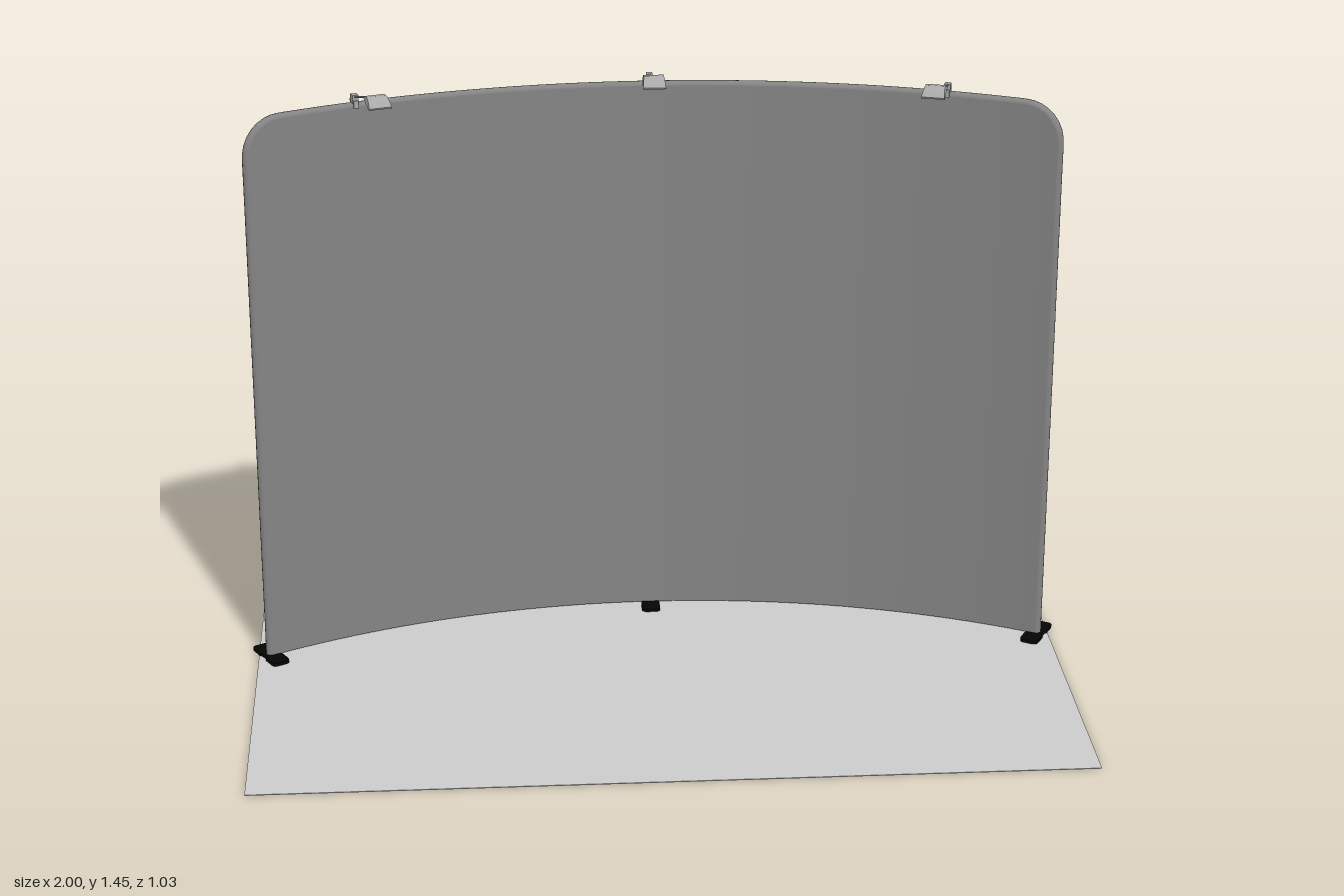
import * as THREE from 'three';

const R = 1.929, ARC_Z = 1.474;           // plan arc of the wall
const HALF = 0.999, TOP = 1.374, BOTTOM = 0.009, CORNER = 0.085, TUBE = 0.012;

const paint = (color, side = THREE.FrontSide) => new THREE.MeshStandardMaterial({ color, side });
const matGrey = paint(0xcccccc);
const fabric = paint(0x848484, THREE.DoubleSide);
const metal = paint(0xa8a8a8);
const armGrey = paint(0x777777);
const black = paint(0x050505);

// Point on the curved wall: s along the arc, y up, out = offset to the back
function onWall(s, y, out = 0) {
  const a = s / R, r = R + out;
  return new THREE.Vector3(r * Math.sin(a), y, ARC_Z - r * Math.cos(a));
}

function add(parent, name, geometry, material) {
  const mesh = new THREE.Mesh(geometry, material);
  mesh.name = name;
  parent.add(mesh);
  return mesh;
}

// Upper outline of the wall as [s, y], with rounded corners
function topOutline() {
  const left = [];
  for (let i = 0; i <= 10; i++) {
    const t = (i / 10) * Math.PI / 2;
    left.push([-HALF + CORNER * (1 - Math.cos(t)), TOP - CORNER * (1 - Math.sin(t))]);
  }
  const right = left.map(([s, y]) => [-s, y]).reverse();
  const middle = [];
  const start = -HALF + CORNER;
  for (let i = 1; i < 40; i++) middle.push([start - 2 * start * i / 40, TOP]);
  return [...left, ...middle, ...right];
}

// Strip of surface between two rows of points
function strip(upper, lower) {
  const n = upper.length;
  const g = new THREE.PlaneGeometry(1, 1, n - 1, 1);
  const p = g.attributes.position;
  for (let i = 0; i < n; i++) {
    p.setXYZ(i, ...upper[i].toArray());
    p.setXYZ(n + i, ...lower[i].toArray());
  }
  g.computeVertexNormals();
  return g;
}

function buildWall() {
  const wall = new THREE.Group();
  wall.name = 'curvedWall';
  const outline = topOutline();
  const upper = (out) => outline.map(([s, y]) => onWall(s, y, out));
  const lower = (out) => outline.map(([s]) => onWall(s, BOTTOM, out));
  const face = TUBE - 0.0002;
  add(wall, 'frontFabric', strip(upper(-face), lower(-face)), fabric);
  // Rows run the other way so the normals face the back
  add(wall, 'backFabric', strip(upper(face).reverse(), lower(face).reverse()), fabric);
  add(wall, 'bottomHem', strip(lower(-face), lower(face)), fabric);

  // Round edge: side posts and rounded top
  const post = (s) => [0, 0.3, 0.6, 0.9, 1.2].map((y) => onWall(s, BOTTOM + y));
  const curve = new THREE.CatmullRomCurve3([...post(-HALF), ...upper(0), ...post(HALF).reverse()]);
  add(wall, 'edgeTube', new THREE.TubeGeometry(curve, 260, TUBE, 12), fabric);
  return wall;
}

// Flat foot with rounded ends and a slight waist
function buildFoot(s) {
  const w = 0.023, l = 0.06, c = 0.013, waist = 0.019;
  const shape = new THREE.Shape();
  shape.moveTo(-w + c, -l);
  shape.lineTo(w - c, -l);
  shape.quadraticCurveTo(w, -l, w, -l + c);
  shape.lineTo(w, -0.016);
  shape.lineTo(waist, -0.01);
  shape.lineTo(waist, 0.01);
  shape.lineTo(w, 0.016);
  shape.lineTo(w, l - c);
  shape.quadraticCurveTo(w, l, w - c, l);
  shape.lineTo(-w + c, l);
  shape.quadraticCurveTo(-w, l, -w, l - c);
  shape.lineTo(-w, 0.016);
  shape.lineTo(-waist, 0.01);
  shape.lineTo(-waist, -0.01);
  shape.lineTo(-w, -0.016);
  shape.lineTo(-w, -l + c);
  shape.quadraticCurveTo(-w, -l, -w + c, -l);
  const g = new THREE.ExtrudeGeometry(shape, { depth: 0.008, bevelEnabled: false, curveSegments: 6 });
  g.rotateX(-Math.PI / 2);
  const foot = new THREE.Mesh(g, black);
  foot.name = 'foot';
  foot.position.copy(onWall(s, 0.002));
  foot.rotation.y = -s / R;
  return foot;
}

// Clamp-on spotlight: local origin on top of the wall, +z to the front
function buildLamp(s) {
  const lamp = new THREE.Group();
  lamp.name = 'spotlight';
  add(lamp, 'clamp', new THREE.BoxGeometry(0.015, 0.02, 0.018), metal).position.set(0, 0.009, 0.002);
  for (const z of [-0.014, 0.014]) {
    add(lamp, 'clampJaw', new THREE.BoxGeometry(0.012, 0.018, 0.004), metal).position.set(0, -0.003, z);
  }
  const arm = new THREE.LineCurve3(new THREE.Vector3(0, 0.012, 0), new THREE.Vector3(0, 0.057, 0.165));
  add(lamp, 'arm', new THREE.TubeGeometry(arm, 1, 0.0025, 8), armGrey);

  // Domed head, slightly narrower at the top
  const profile = new THREE.Shape();
  profile.moveTo(0.159, 0.054);
  profile.lineTo(0.207, 0.038);
  profile.lineTo(0.209, 0.042);
  profile.quadraticCurveTo(0.195, 0.059, 0.177, 0.062);
  profile.lineTo(0.16, 0.06);
  const g = new THREE.ExtrudeGeometry(profile, { depth: 0.056, bevelEnabled: false, curveSegments: 6 });
  g.translate(0, 0, -0.028);
  g.rotateY(-Math.PI / 2);
  const p = g.attributes.position;
  for (let i = 0; i < p.count; i++) {
    const rise = THREE.MathUtils.clamp((p.getY(i) - 0.038) / 0.024, 0, 1);
    p.setX(i, p.getX(i) * (1 - 0.15 * rise));
  }
  g.computeVertexNormals();
  add(lamp, 'lampHead', g, metal);

  lamp.position.copy(onWall(s, TOP + TUBE));
  lamp.rotation.y = -0.86 * s / R;
  return lamp;
}

export function createModel() {
  const model = new THREE.Group();
  model.name = 'curvedDisplayStand';

  // Floor mat
  add(model, 'floorMat', new THREE.BoxGeometry(1.97, 0.002, 0.985), matGrey).position.set(0, 0.001, 0.0225);

  model.add(buildWall());
  for (const s of [-HALF, 0, HALF]) model.add(buildFoot(s));
  for (const s of [-0.722, 0, 0.722]) model.add(buildLamp(s));
  return model;
}
